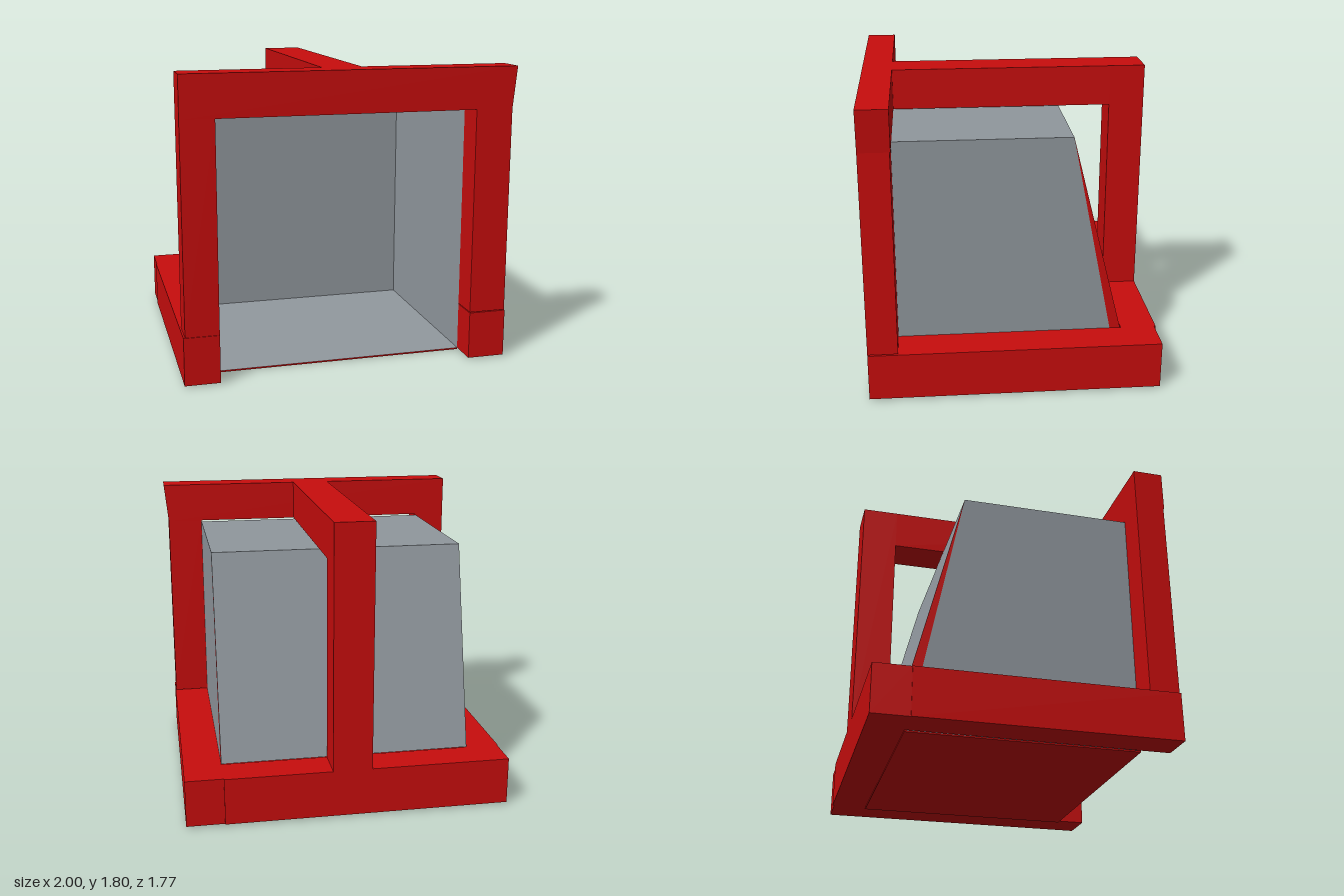
import * as THREE from 'three';

export function createModel() {
  const model = new THREE.Group();
  const red = new THREE.MeshStandardMaterial({ color: 0xc80d0d, side: THREE.DoubleSide });
  red.name = 'red frame';
  const grey = new THREE.MeshStandardMaterial({ color: 0x90979d, side: THREE.DoubleSide });
  grey.name = 'grey shell';

  const add = (name, geometry, material) => {
    const mesh = new THREE.Mesh(geometry, material);
    mesh.name = name;
    model.add(mesh);
    return mesh;
  };

  // Box given by its limits on each axis
  const bar = (name, [x0, x1], [y0, y1], [z0, z1]) => {
    const g = new THREE.BoxGeometry(x1 - x0, y1 - y0, z1 - z0);
    g.translate((x0 + x1) / 2, (y0 + y1) / 2, (z0 + z1) / 2);
    return add(name, g, red);
  };

  // Flat polygons, corners counter-clockwise as seen from the front of the face
  const faces = (polygons) => {
    const pos = [];
    for (const p of polygons) {
      for (let i = 1; i < p.length - 1; i++) pos.push(...p[0], ...p[i], ...p[i + 1]);
    }
    const g = new THREE.BufferGeometry();
    g.setAttribute('position', new THREE.Float32BufferAttribute(pos, 3));
    g.computeVertexNormals();
    return g;
  };

  // Base rails and floor plate
  bar('rightBaseRail', [-1, -0.79], [0.01, 0.3], [-0.67, 0.88]);
  bar('leftBaseRail', [0.75, 0.98], [0.01, 0.3], [-0.67, 0.88]);
  bar('backBaseRail', [-0.995, 0.75], [0.01, 0.3], [-0.89, -0.67]);
  bar('backCornerBlock', [0.75, 0.98], [0.01, 0.3], [-0.88, -0.67]);
  bar('floorPlate', [-0.79, 0.75], [0, 0.009], [-0.67, 0.7]);

  // Front arch; the left post flares outward at its top
  bar('rightFrontPost', [-0.99, -0.79], [0.3, 1.55], [0.695, 0.875]);
  bar('leftFrontPost', [0.75, 0.975], [0.305, 1.55], [0.7, 0.88]);
  const beam = bar('frontTopBeam', [-0.99, 0.975], [1.55, 1.8], [0.695, 0.88]);
  const bp = beam.geometry.attributes.position;
  for (let i = 0; i < bp.count; i++) {
    if (bp.getX(i) > 0 && bp.getY(i) > 1.7) bp.setX(i, 1);
  }
  beam.geometry.computeVertexNormals();

  // Centre roll bar
  bar('centreTopBeam', [-0.14, 0.1], [1.55, 1.8], [-0.67, 0.7]);
  bar('backPost', [-0.14, 0.1], [0.3, 1.8], [-0.89, -0.67]);

  // Outer shell: straight sides, flat roof, sloping back
  const L = 0.75, R = -0.795, zf = 0.7, top = 1.54, low = 0.3, zt = -0.35, zb = -0.665, zs = -0.6;
  add('outerShell', faces([
    [[R, top, zf], [L, top, zf], [L, top, zt], [R, top, zt]],
    [[R, low, zb], [R, top, zt], [L, top, zt], [L, low, zb]],
    [[L, low, zf], [L, low, zs], [L, top, zt], [L, top, zf]],
    [[R, low, zs], [R, low, zf], [R, top, zf], [R, top, zt]],
  ]), grey);

  // Narrow red wedges between the side walls and the back wall
  add('leftWedge', faces([[[L, low, zs], [L, low, zb], [L, top, zt]]]), red);
  add('rightWedge', faces([[[R, low, zb], [R, low, zs], [R, top, zt]]]), red);

  // Inner recess tapering toward its back wall
  const f = [[-0.79, 0.01, zf], [0.75, 0.01, zf], [0.75, 1.535, zf], [-0.79, 1.535, zf]];
  const b = [[-0.67, 0.12, -0.2], [0.63, 0.12, -0.2], [0.63, 1.43, -0.2], [-0.67, 1.43, -0.2]];
  const recess = [b];
  for (let i = 0; i < 4; i++) {
    const j = (i + 1) % 4;
    recess.push([f[i], f[j], b[j], b[i]]);
  }
  add('innerRecess', faces(recess), grey);

  return model;
}
